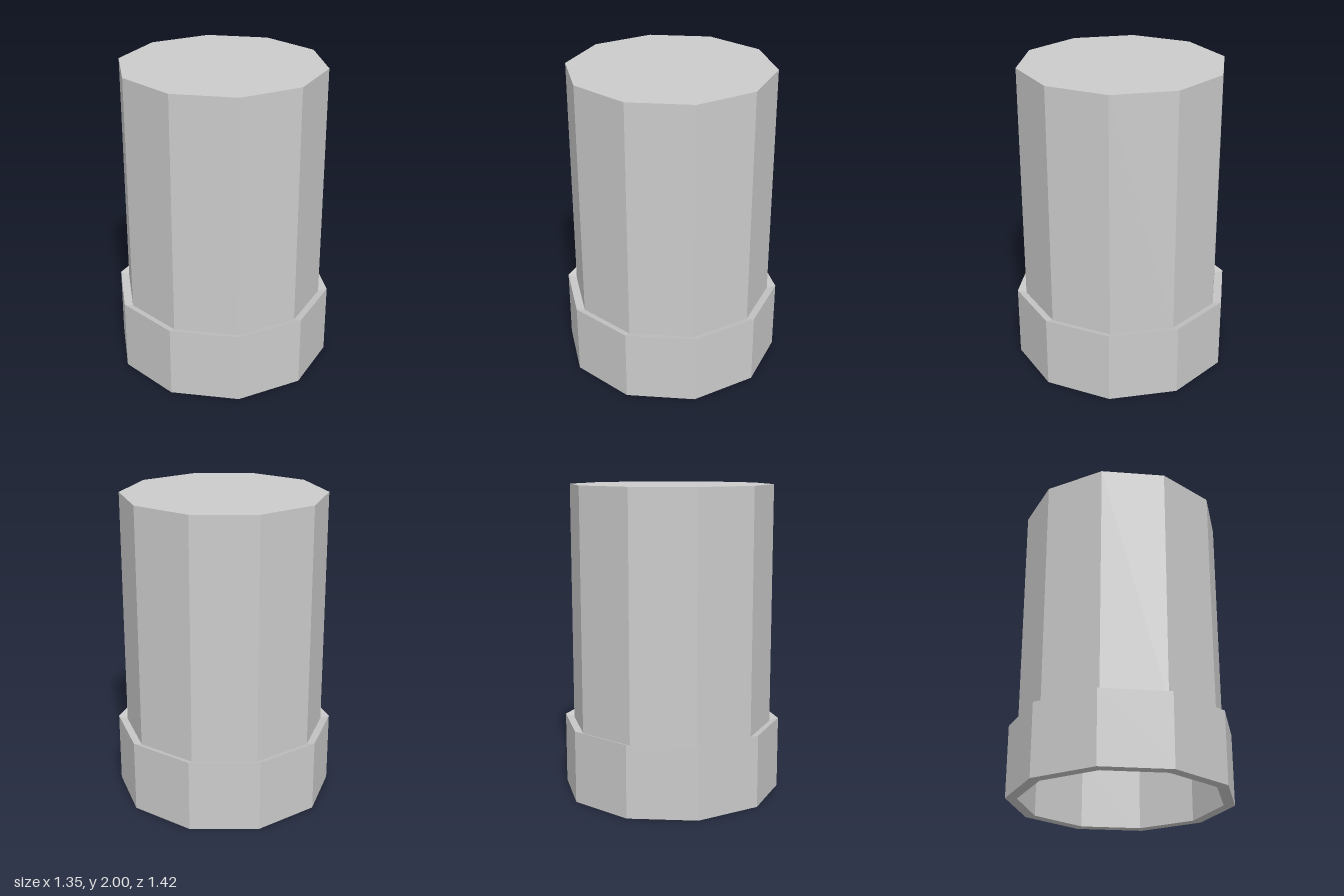
import * as THREE from 'three';

const SIDES = 10;
const grey = new THREE.MeshStandardMaterial({ color: 0xcccccc, flatShading: true });

// Ten-sided turned part; the profile runs down the inside and up the outside
function turned(name, profile) {
  const points = profile.map(([r, y]) => new THREE.Vector2(r, y));
  const mesh = new THREE.Mesh(new THREE.LatheGeometry(points, SIDES), grey);
  mesh.name = name;
  return mesh;
}

export function createModel() {
  const group = new THREE.Group();
  group.name = 'collaredCap';

  // Hollow body, closed at the top and open below
  group.add(turned('body', [
    [0, 1.94], [0.6, 1.94], [0.6, 0.42], [0.655, 0.42], [0.655, 2], [0, 2],
  ]));

  // Wider collar whose top slopes gently down towards the body
  group.add(turned('collar', [
    [0.64, 0.442], [0.64, 0], [0.712, 0], [0.712, 0.467], [0.64, 0.442],
  ]));

  return group;
}
